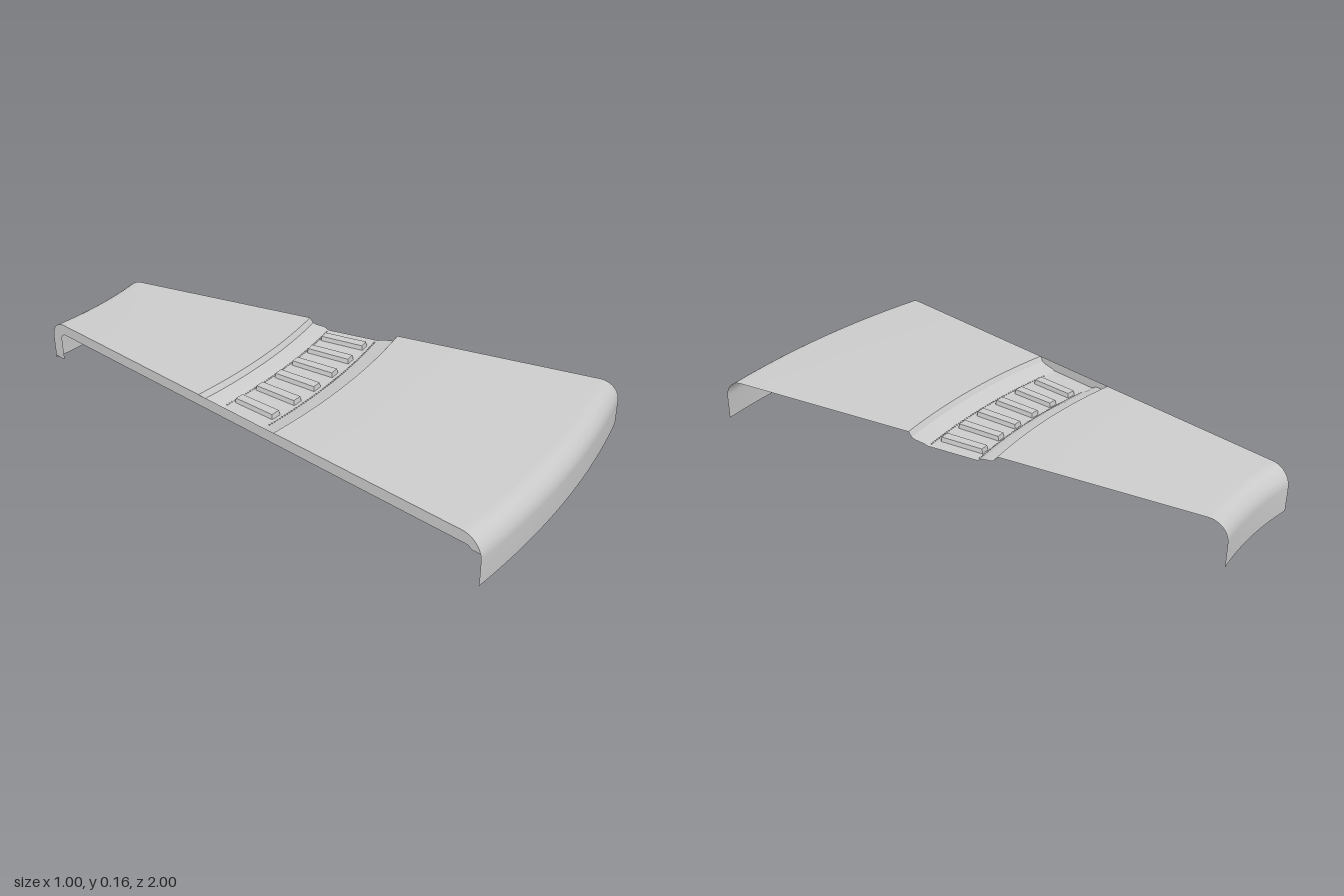
import * as THREE from 'three';
import { mergeGeometries, toCreasedNormals } from 'three/addons/utils/BufferGeometryUtils.js';

// The panel is a sector of a ring: t is the angle about the pivot, r the radius.
const CX = -0.478, CZ = -2.25;
const T0 = -0.0068, T1 = 0.305;
const R_BACK = 1.31, R_FRONT = 3.25, TOP = 0.16, BEND = 0.07, FLOOR = 0.125;
const place = (t, r, y) => [CX + r * Math.sin(t), y, CZ + r * Math.cos(t)];

// Sheet over lists of angles and [r, y] profile points; lift adds local height.
function sheet(angles, profile, lift = () => 0) {
  const pos = [], index = [], n = profile.length;
  angles.forEach((t, i) => profile.forEach(([r, y], j) => {
    pos.push(...place(t, r, y + lift(t, r)));
    if (i && j) {
      const d = i * n + j, c = d - 1, b = d - n, a = b - 1;
      index.push(a, b, c, b, d, c);
    }
  }));
  const g = new THREE.BufferGeometry();
  g.setAttribute('position', new THREE.Float32BufferAttribute(pos, 3));
  g.setIndex(index);
  return toCreasedNormals(g, 0.5);
}

const steps = (a, b, n) => Array.from({ length: n + 1 }, (_, i) => a + (b - a) * i / n);

// Quarter bend from angle a0 to a1 around (r, y)
const bend = (r, y, rad, a0, a1, n = 10) =>
  steps(a0, a1, n).map(a => [r + rad * Math.cos(a), y + rad * Math.sin(a)]);

export function createModel() {
  const group = new THREE.Group();
  const material = new THREE.MeshStandardMaterial({ color: 0xcccccc, side: THREE.DoubleSide });
  const add = (name, geometry) => {
    const mesh = new THREE.Mesh(geometry, material);
    mesh.name = name;
    group.add(mesh);
  };
  const arc = steps(T0, T1, 32);

  // Top plates with the rolled-down lip at each end
  const backCurve = bend(R_BACK + BEND, TOP - BEND, BEND, Math.PI, Math.PI / 2);
  const frontCurve = bend(R_FRONT - BEND, TOP - BEND, BEND, Math.PI / 2, 0);
  add('backPlate', sheet(arc, [[R_BACK, 0], ...backCurve, [2.105, TOP]]));
  add('frontPlate', sheet(arc, [[2.45, TOP], ...frontCurve, [R_FRONT, 0]]));

  // Sunken band with six raised ribs
  const ribs = steps(0.041, 0.275, 5), half = 0.0088, wall = 0.0015;
  const ribAngles = ribs.flatMap(t => [t - half, t - half + wall, t + half - wall, t + half]);
  const angles = [...arc, ...ribAngles]
    .sort((a, b) => a - b)
    .filter((t, i, all) => !i || t - all[i - 1] > 1e-5);
  const r0 = 2.187, r1 = 2.355, slope = 0.004;
  const lift = (t, r) => {
    const inR = r > r0 + slope / 2 && r < r1 - slope / 2;
    const inT = ribs.some(c => Math.abs(t - c) < half - wall / 2);
    return inR && inT ? 0.016 : 0;
  };
  add('sunkenBand', sheet(angles, [
    [2.105, TOP], [2.109, 0.155], [2.118, 0.142], [2.13, 0.138], [2.16, 0.136],
    [2.172, 0.13], [2.18, FLOOR],
    [r0, FLOOR], [r0 + slope, FLOOR], [r1 - slope, FLOOR], [r1, FLOOR],
    [2.375, FLOOR], [2.385, 0.13], [2.425, 0.136], [2.438, 0.142], [2.446, 0.155], [2.45, TOP],
  ], lift));

  // Rows of small studs beside the ribs
  const studs = [];
  for (const r of [2.18, 2.37]) {
    for (const t of steps(0.02, 0.297, 54)) {
      const stud = new THREE.SphereGeometry(0.003, 6, 3, 0, Math.PI * 2, 0, Math.PI / 2);
      studs.push(stud.translate(...place(t, r, FLOOR)));
    }
  }
  add('studRows', mergeGeometries(studs));

  // Side flange under the straight edge, turning down the back lip
  const inner = R_BACK + 0.05;
  const outline = [
    [R_BACK, 0.01], ...backCurve, ...frontCurve.slice(0, 9), [R_FRONT - 0.005, 0.11],
    [R_FRONT - 0.03, 0.11], [R_FRONT - 0.05, 0.12],
    ...bend(inner + 0.025, 0.095, 0.025, Math.PI / 2, Math.PI, 6), [inner, 0.01],
  ];
  const flange = new THREE.ShapeGeometry(new THREE.Shape(outline.map(p => new THREE.Vector2(...p))));
  const p = flange.attributes.position;
  for (let i = 0; i < p.count; i++) p.setXYZ(i, ...place(T0, p.getX(i), p.getY(i)));
  // Shape x runs to +z here, so the front side already faces outward
  flange.computeVertexNormals();
  add('sideFlange', flange);

  return group;
}
